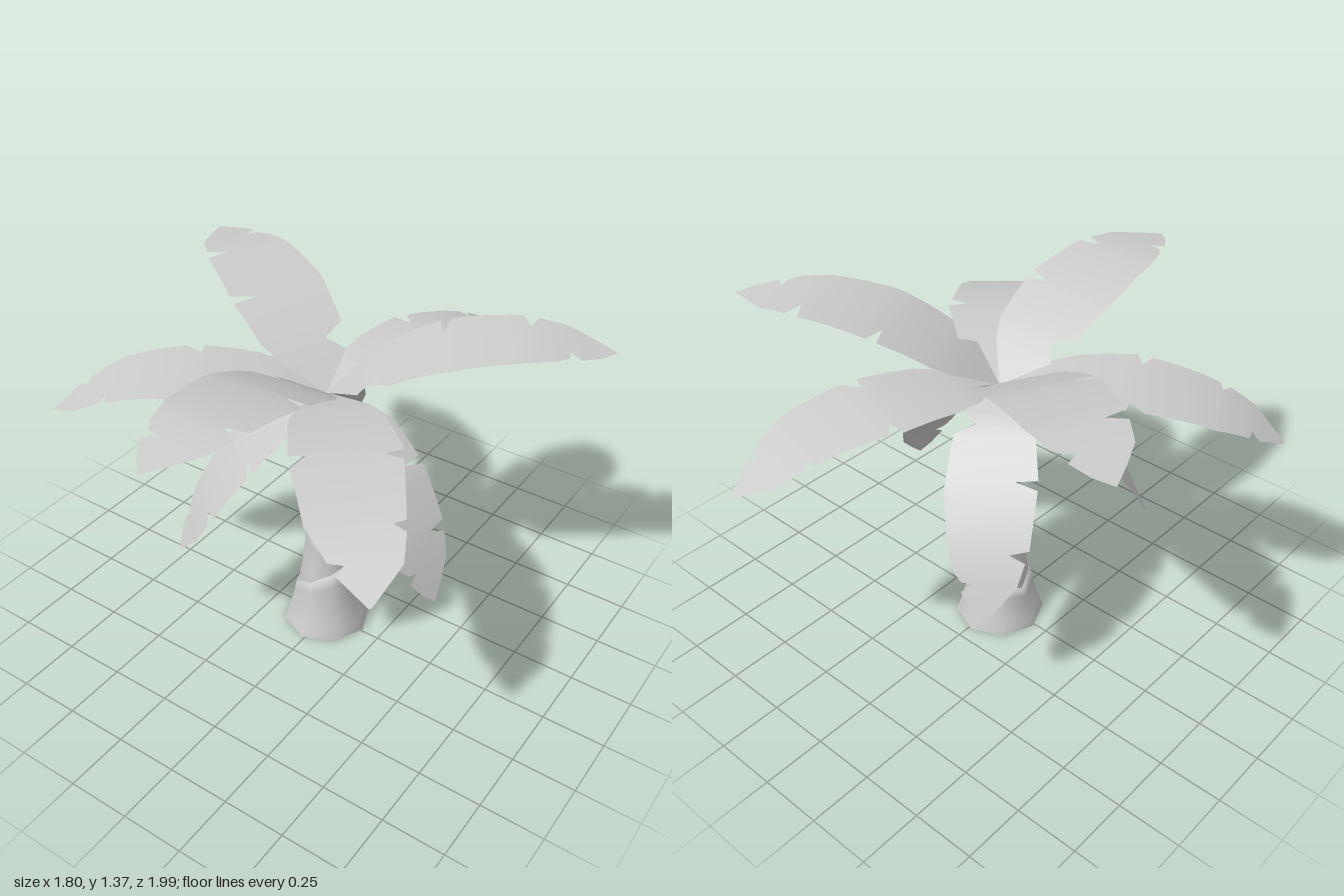
import * as THREE from 'three';

const CX = -0.01, CZ = -0.012, SIDES = 8;
const material = new THREE.MeshStandardMaterial({ color: 0xcccccc });
const leafMaterial = new THREE.MeshStandardMaterial({ color: 0xcccccc, side: THREE.DoubleSide });

// Piecewise-linear lookup in a list of [key, value] pairs
function lookup(table, k) {
  for (let i = 1; i < table.length; i++) {
    const [k0, v0] = table[i - 1], [k1, v1] = table[i];
    if (k <= k1) return v0 + (v1 - v0) * Math.max(0, (k - k0) / (k1 - k0));
  }
  return table[table.length - 1][1];
}

function makeMesh(name, positions, index, mat) {
  const geometry = new THREE.BufferGeometry();
  geometry.setAttribute('position', new THREE.Float32BufferAttribute(positions, 3));
  geometry.setIndex(index);
  geometry.computeVertexNormals();
  const mesh = new THREE.Mesh(geometry, mat);
  mesh.name = name;
  return mesh;
}

// Trunk sleeve: radius follows the profile, the rim slants along x by tilt
function sleeve(name, bottom, rim, tilt, profile) {
  const rows = 6, positions = [], index = [];
  for (let j = 0; j <= rows + 1; j++) {
    const lip = j > rows;
    for (let i = 0; i < SIDES; i++) {
      const a = (i / SIDES) * Math.PI * 2;
      const top = rim + tilt * Math.cos(a);
      const y = bottom + (top - bottom) * Math.min(1, j / rows);
      const r = lookup(profile, y) - (lip ? 0.035 : 0);
      positions.push(CX + r * Math.cos(a), y + (lip ? 0.012 : 0), CZ + r * Math.sin(a));
    }
  }
  for (let j = 0; j <= rows; j++) {
    for (let i = 0; i < SIDES; i++) {
      const n = (i + 1) % SIDES, a = j * SIDES + i, b = j * SIDES + n;
      index.push(a, a + SIDES, b, b, a + SIDES, b + SIDES);
    }
  }
  return makeMesh(name, positions, index, material);
}

// Half widths along the leaf on each edge; sudden dips are the torn notches
const pointedLeaf = {
  right: [[0, 0], [0.14, 0.14], [0.2, 0.08], [0.25, 0.17], [0.47, 0.19], [0.7, 0.165], [0.8, 0.135],
    [0.84, 0.1], [0.845, 0.055], [0.88, 0.1], [0.95, 0.055], [1, 0]],
  left: [[0, 0], [0.15, 0.13], [0.23, 0.17], [0.42, 0.195], [0.43, 0.1], [0.46, 0.195], [0.7, 0.175],
    [0.72, 0.09], [0.75, 0.16], [0.85, 0.13], [0.93, 0.065], [1, 0]],
};
const bluntLeaf = {
  right: [[0, 0], [0.15, 0.13], [0.25, 0.17], [0.45, 0.19], [0.455, 0.13], [0.51, 0.19], [0.74, 0.17],
    [0.86, 0.11], [0.87, 0.06], [0.9, 0.09], [1, 0]],
  left: [[0, 0], [0.15, 0.13], [0.25, 0.17], [0.45, 0.2], [0.47, 0.13], [0.5, 0.19], [0.74, 0.155],
    [0.75, 0.11], [0.78, 0.15], [0.88, 0.125], [1, 0.01]],
};

// Leaf: a strip bent along the (distance, height) arc, turned about the trunk
function leaf(name, outline, arc, degrees, widthScale) {
  const curve = new THREE.SplineCurve(arc.map(([r, y]) => new THREE.Vector2(r, y)));
  const steps = [...outline.left, ...outline.right].map(([t]) => t);
  for (let i = 1; i < 12; i++) steps.push(i / 12);
  const rows = [...new Set(steps)].sort((a, b) => a - b);
  const angle = THREE.MathUtils.degToRad(degrees), s = Math.sin(angle), c = Math.cos(angle);
  const positions = [], index = [];
  rows.forEach((t, j) => {
    const p = curve.getPointAt(t);
    for (const w of [-lookup(outline.right, t), lookup(outline.left, t)]) {
      const side = w * widthScale;
      positions.push(CX + p.x * s + side * c, p.y, CZ + p.x * c - side * s);
    }
    if (j > 0) {
      const a = 2 * (j - 1);
      index.push(a, a + 2, a + 1, a + 1, a + 2, a + 3);
    }
  });
  return makeMesh(name, positions, index, leafMaterial);
}

export function createModel() {
  const model = new THREE.Group();
  model.name = 'palmTree';

  // Trunk: two slanted bark sleeves around a tapering stem
  const trunk = new THREE.Group();
  trunk.name = 'trunk';
  trunk.add(
    sleeve('baseSleeve', 0, 0.24, 0.07, [[0, 0.18], [0.08, 0.153], [0.17, 0.132], [0.31, 0.112]]),
    sleeve('middleSleeve', 0.1, 0.45, -0.095, [[0.1, 0.125], [0.2, 0.118], [0.36, 0.093], [0.54, 0.085]]),
    sleeve('stem', 0.28, 1.08, 0, [[0.28, 0.085], [0.55, 0.068], [0.8, 0.05], [1.08, 0.025]]),
  );
  const base = new THREE.Mesh(new THREE.CircleGeometry(0.18, SIDES), material);
  base.name = 'trunkBottom';
  base.rotation.x = Math.PI / 2;
  base.position.set(CX, 0, CZ);
  trunk.add(base);
  model.add(trunk);

  // Three tiers of three leaves
  const tiers = [
    { name: 'upperLeaf', outline: pointedLeaf, scale: 1, angles: [1, 117, 241],
      arc: [[0, 1.09], [0.2, 1.225], [0.43, 1.325], [0.72, 1.367], [1.01, 1.335]] },
    { name: 'middleLeaf', outline: bluntLeaf, scale: 1, angles: [41.5, 161.5, 300],
      arc: [[0, 1.09], [0.2, 1.14], [0.45, 1.16], [0.68, 1.135], [0.86, 1.075], [1.035, 0.97]] },
    { name: 'lowerLeaf', outline: pointedLeaf, scale: 0.86, angles: [77, 216, 318],
      arc: [[0, 1.09], [0.17, 1.02], [0.34, 0.87], [0.48, 0.68], [0.59, 0.46]] },
  ];
  for (const { name, outline, scale, angles, arc } of tiers) {
    angles.forEach((angle, i) => model.add(leaf(`${name}${i + 1}`, outline, arc, angle, scale)));
  }
  return model;
}
